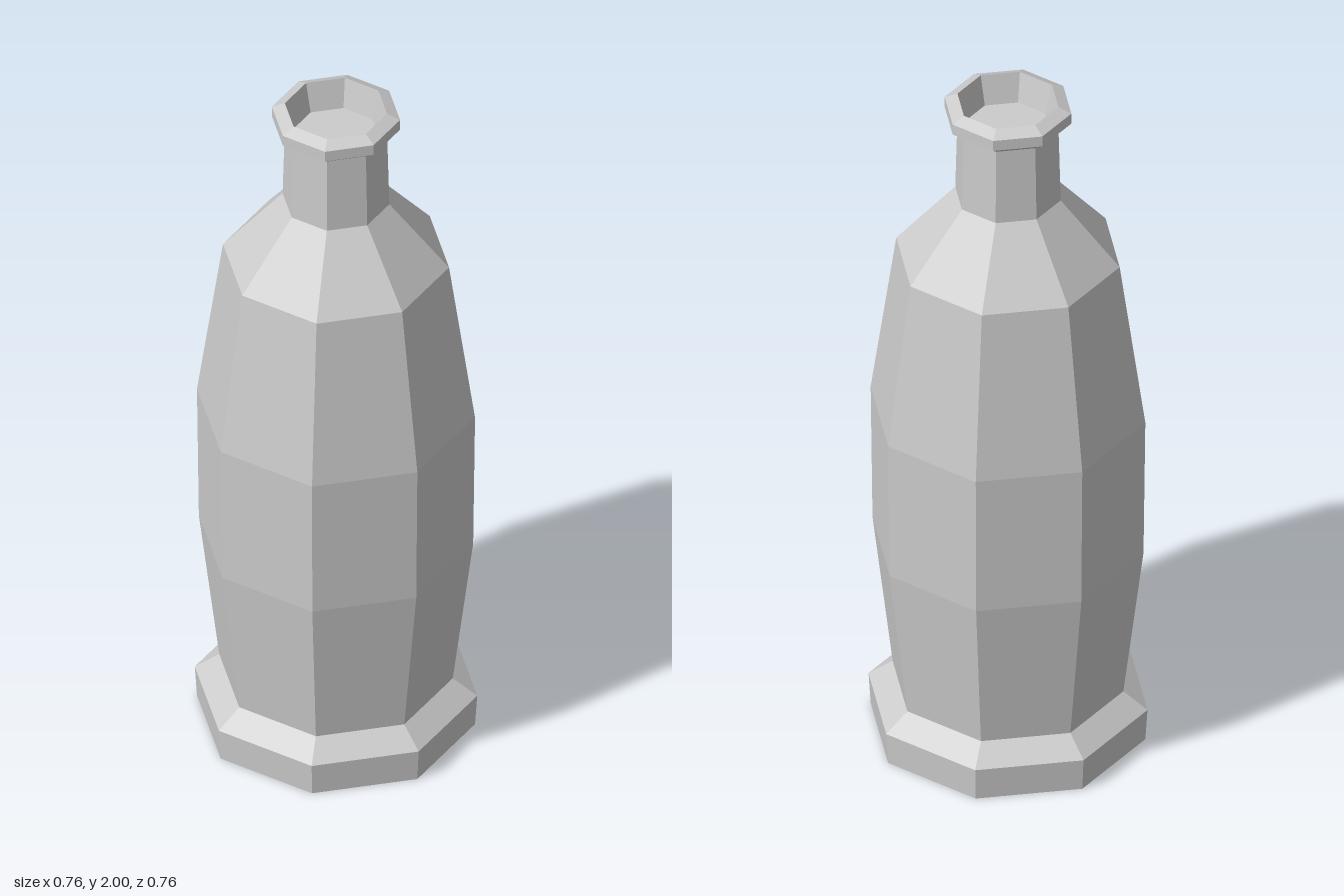
import * as THREE from 'three';

const SIDES = 8;

// Faceted ring of octagonal sections from [radius, height] pairs
function turned(name, profile, material) {
  const points = profile.map(([r, y]) => new THREE.Vector2(r, y));
  const mesh = new THREE.Mesh(new THREE.LatheGeometry(points, SIDES), material);
  mesh.name = name;
  return mesh;
}

export function createModel() {
  const bottle = new THREE.Group();
  bottle.name = 'bottle';
  const material = new THREE.MeshStandardMaterial({ color: 0xcccccc, flatShading: true });

  // Closed foot with a bevelled top edge
  bottle.add(turned('foot', [[0, 0], [0.375, 0], [0.381, 0.095], [0.315, 0.145]], material));

  // Swelling body up to the sloping shoulder
  bottle.add(turned('body', [[0.315, 0.145], [0.37, 0.6], [0.375, 1.02], [0.305, 1.51]], material));
  bottle.add(turned('shoulder', [[0.305, 1.51], [0.144, 1.7]], material));

  // Straight neck
  bottle.add(turned('neck', [[0.144, 1.7], [0.138, 1.926]], material));

  // Bevelled lip around the mouth
  bottle.add(turned('lip', [[0.138, 1.926], [0.173, 1.952], [0.173, 1.984], [0.138, 2]], material));

  // Shallow recessed mouth with a flat floor
  bottle.add(turned('mouth', [[0.138, 2], [0.117, 1.915], [0, 1.915]], material));

  return bottle;
}
